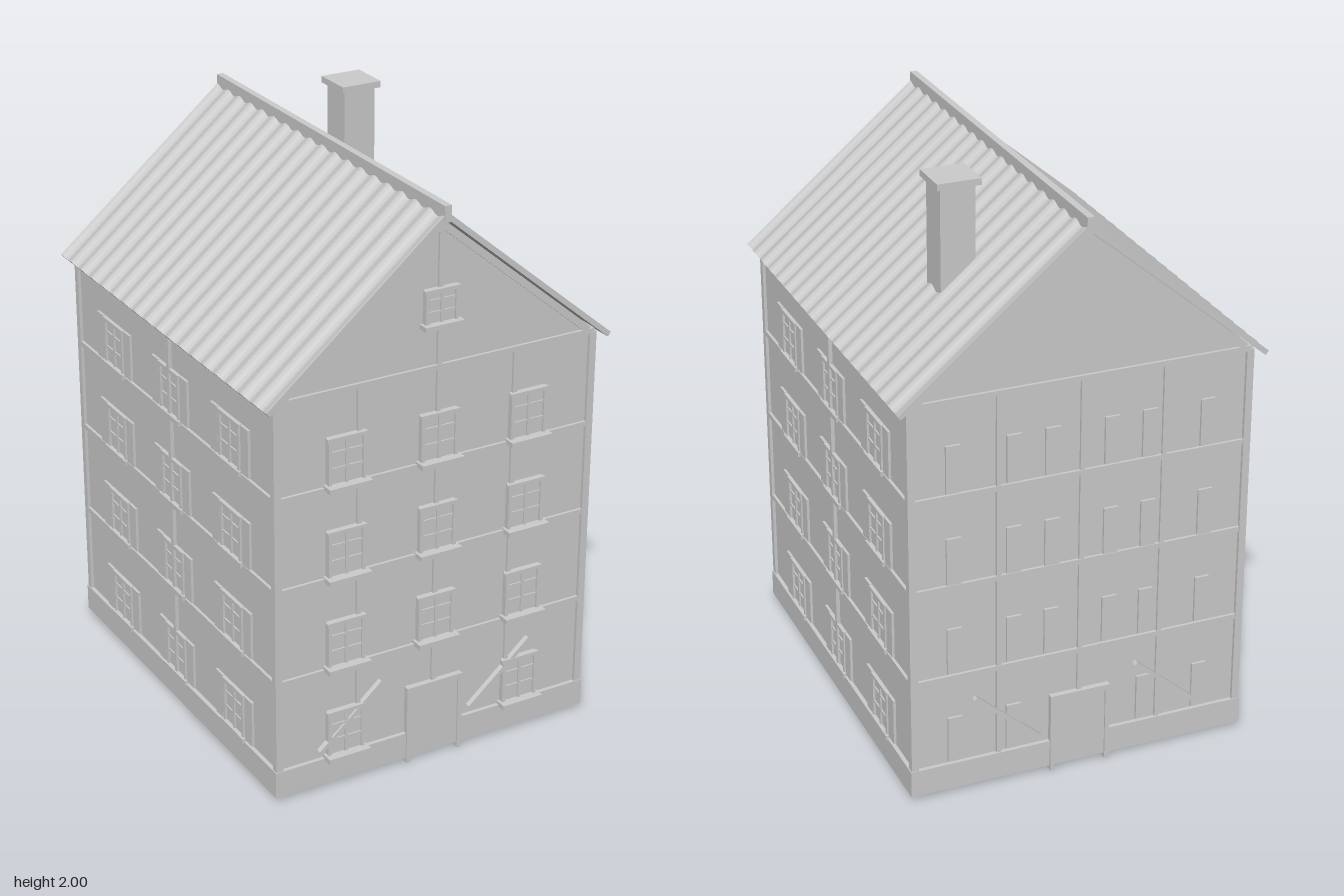
import * as THREE from 'three';

const plaster = new THREE.MeshStandardMaterial({ color: 0xcccccc });
plaster.name = 'light grey';

const HX = 0.58, HZ = 0.705;              // half size of the walls
const FLOORS = [0.11, 0.44, 0.765, 1.088]; // sill height of each storey

function add(parent, name, geometry) {
  const mesh = new THREE.Mesh(geometry, plaster);
  mesh.name = name;
  parent.add(mesh);
  return mesh;
}

// box given by its extents in x and y, and its depth range in z
function slab(parent, name, x0, x1, y0, y1, z0, z1) {
  const m = add(parent, name, new THREE.BoxGeometry(x1 - x0, y1 - y0, z1 - z0));
  m.position.set((x0 + x1) / 2, (y0 + y1) / 2, (z0 + z1) / 2);
  return m;
}

// straight timber between two points on a facade
function timber(parent, name, a, b, width, z0, z1) {
  const dx = b[0] - a[0], dy = b[1] - a[1];
  const m = add(parent, name, new THREE.BoxGeometry(Math.hypot(dx, dy), width, z1 - z0));
  m.position.set((a[0] + b[0]) / 2, (a[1] + b[1]) / 2, (z0 + z1) / 2);
  m.rotation.z = Math.atan2(dy, dx);
  return m;
}

// framed window with glazing bars and a sill; y is the sill height
function makeWindow(parent, x, y, w, h, sillDepth, z) {
  const g = new THREE.Group();
  g.name = 'window';
  g.position.set(x, y, z);
  parent.add(g);
  const r = w / 2, t = 0.012;
  slab(g, 'pane', -r, r, 0.01, h, -0.01, 0.004);
  for (const s of [-1, 1]) {
    slab(g, 'frameSide', s * (r - t / 2) - t / 2, s * (r - t / 2) + t / 2, 0.01, h, 0, 0.012);
  }
  slab(g, 'frameTop', -r - 0.004, r + 0.004, h - t, h, 0, 0.013);
  slab(g, 'mullion', -0.005, 0.005, 0.01, h - t, 0, 0.01);
  for (const k of [0.38, 0.7]) slab(g, 'glazingBar', -r + t, r - t, h * k - 0.004, h * k + 0.004, 0, 0.009);
  slab(g, 'sill', -r - 0.01, r + 0.01, -0.005, 0.012, -0.01, sillDepth);
}

function makeShutters(parent, x, y, h) {
  for (const s of [-1, 1]) {
    const c = x + s * 0.102;
    slab(parent, 'shutter', c - 0.025, c + 0.025, y + 0.008, y + h, -0.005, 0.009);
  }
}

// facade whose outside is local +z
function makeFacade(parent, name, angle, distance, half) {
  const g = new THREE.Group();
  g.name = name;
  g.rotation.y = angle;
  g.position.set(Math.sin(angle) * distance, 0, Math.cos(angle) * distance);
  parent.add(g);
  for (const y of [0.433, 0.763, 1.083, 1.411]) {
    slab(g, 'floorBeam', -half, half, y - 0.009, y + 0.009, -0.01, 0.01);
  }
  return g;
}

function makeGableSide(parent, front) {
  const g = makeFacade(parent, front ? 'frontFacade' : 'backFacade', front ? 0 : Math.PI, HZ, HX);
  const s = front ? 1 : -1;

  // upright posts
  slab(g, 'centrePost', -0.008, 0.008, 0.28, front ? 1.89 : 1.41, -0.01, 0.009);
  for (const x of [-0.285, 0.285]) slab(g, 'post', x - 0.008, x + 0.008, 0.11, 1.41, -0.01, 0.009);

  // timbers under the roof slopes
  for (const k of [-1, 1]) timber(g, 'gableRafter', [k * 0.56, 1.418], [0, 1.887], 0.024, -0.01, 0.01);

  // door
  for (const x of [-0.098, 0.098]) slab(g, 'doorJamb', x - 0.008, x + 0.008, 0, 0.285, -0.01, 0.02);
  slab(g, 'doorLintel', -0.106, 0.106, 0.268, 0.285, -0.01, 0.02);
  slab(g, 'door', -0.09, 0.09, 0.02, 0.268, -0.01, 0.014);

  // diagonal braces
  for (const x of [-0.315, 0.255]) {
    timber(g, 'brace', [s * (x - 0.115), 0.14], [s * (x + 0.115), 0.34], 0.014, -0.01, 0.019);
  }

  // windows
  FLOORS.forEach((y, i) => {
    for (const x of [-0.335, 0, 0.335]) {
      if (i === 0 && x === 0) continue;
      if (front) makeWindow(g, x, y, 0.135, 0.172, 0.037, 0.008);
      else makeShutters(g, x, y, 0.172);
    }
  });
  if (front) makeWindow(g, 0, 1.555, 0.12, 0.125, 0.03, 0.008);
}

function makeLongSide(parent, sign) {
  const g = makeFacade(parent, sign > 0 ? 'leftFacade' : 'rightFacade', sign * Math.PI / 2, HX, HZ);
  for (const y of FLOORS) {
    for (const x of [-0.42, 0, 0.42]) {
      makeWindow(g, x, y, 0.14, 0.172, 0.019, 0);
      makeShutters(g, x, y, 0.172);
    }
  }
  slab(g, 'centrePost', -0.008, 0.008, 0.11, 1.41, -0.01, 0.013);
}

// one corrugated roof slope, extruded from eave to ridge
function makeRoofSlope(parent, name, angle) {
  const g = new THREE.Group();
  g.name = name;
  g.rotation.y = angle;
  parent.add(g);
  const half = 0.743, waves = 18, steps = waves * 6;
  const shape = new THREE.Shape();
  shape.moveTo(-half, 0);
  shape.lineTo(half, 0);
  for (let i = 0; i <= steps; i++) {
    const u = half - 2 * half * i / steps;
    shape.lineTo(u, 0.013 + 0.005 * Math.cos(2 * Math.PI * waves * i / steps));
  }
  const eave = new THREE.Vector3(0.616, 1.393, 0), ridge = new THREE.Vector3(0, 1.91, 0);
  const up = ridge.clone().sub(eave);
  const depth = up.length();
  up.normalize();
  const along = new THREE.Vector3(0, 0, 1);
  const normal = new THREE.Vector3().crossVectors(up, along);
  const geo = new THREE.ExtrudeGeometry(shape, { depth, bevelEnabled: false });
  geo.applyMatrix4(new THREE.Matrix4().makeBasis(along, normal, up).setPosition(eave));
  add(g, 'roofTiles', geo);
}

export function createModel() {
  const house = new THREE.Group();
  house.name = 'house';

  // walls with gables
  const outline = new THREE.Shape([
    [-HX, 0.05], [HX, 0.05], [HX, 1.415], [0, 1.9], [-HX, 1.415],
  ].map(([x, y]) => new THREE.Vector2(x, y)));
  const walls = new THREE.ExtrudeGeometry(outline, { depth: 2 * HZ, bevelEnabled: false });
  add(house, 'walls', walls.translate(0, 0, -HZ));

  // plinth and corner posts
  slab(house, 'plinth', -0.594, 0.594, 0.018, 0.112, -0.719, 0.719);
  for (const sx of [-1, 1]) for (const sz of [-1, 1]) {
    const post = add(house, 'cornerPost', new THREE.BoxGeometry(0.025, 1.3, 0.025));
    post.position.set(sx * 0.578, 0.76, sz * 0.704);
  }

  makeGableSide(house, true);
  makeGableSide(house, false);
  makeLongSide(house, 1);
  makeLongSide(house, -1);

  // roof
  makeRoofSlope(house, 'leftRoof', 0);
  makeRoofSlope(house, 'rightRoof', Math.PI);
  slab(house, 'ridgeCap', -0.012, 0.012, 1.9, 1.955, -0.745, 0.745);

  // chimney
  slab(house, 'chimney', 0.238, 0.355, 1.58, 1.98, -0.41, -0.293);
  slab(house, 'chimneyCap', 0.223, 0.37, 1.978, 2, -0.425, -0.279);

  return house;
}
